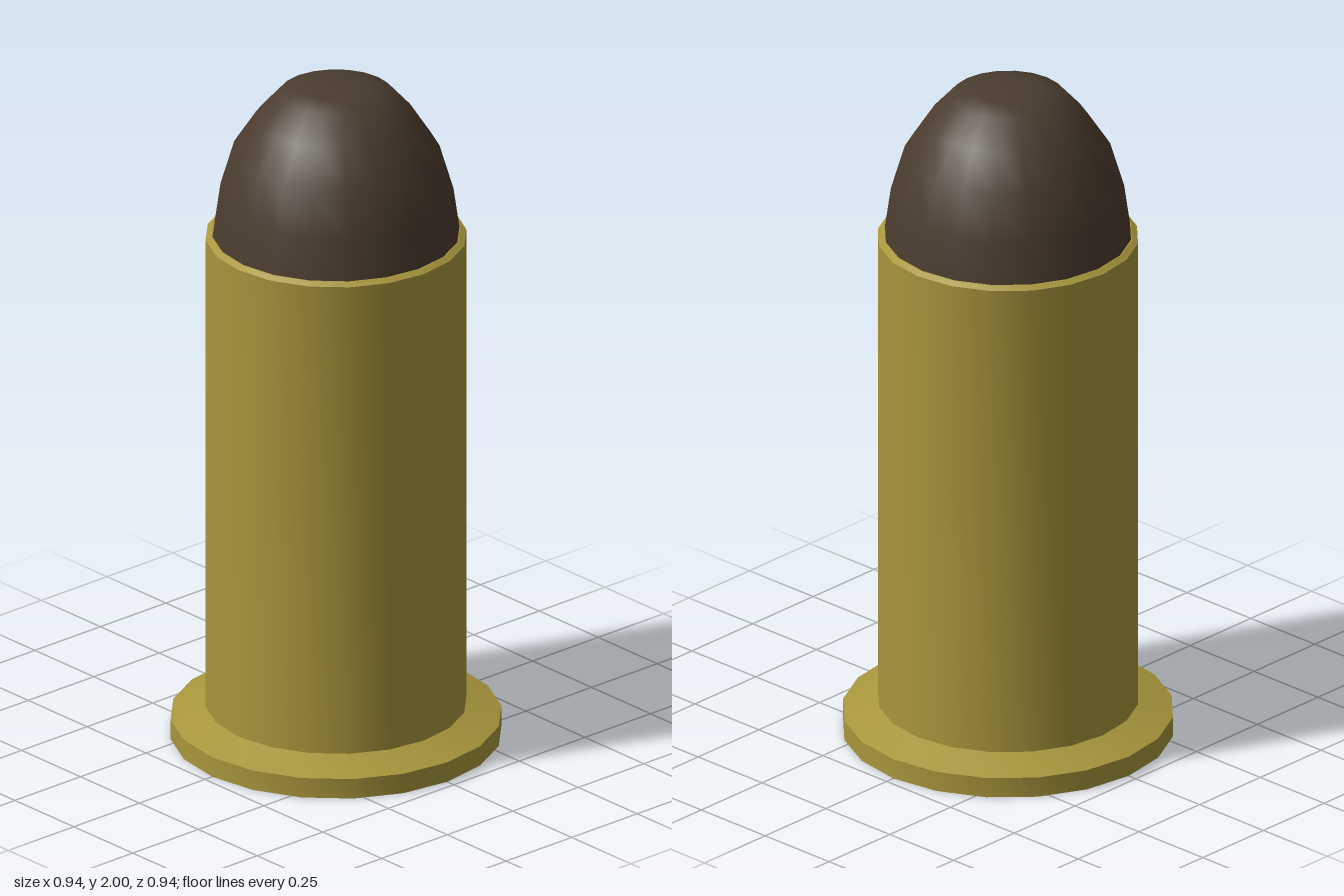
import * as THREE from 'three';
import { toCreasedNormals } from 'three/addons/utils/BufferGeometryUtils.js';

const SIDES = 20;

// Turned part from a [radius, height] profile, listed from bottom to top
function turned(name, profile, color, creaseDegrees) {
  const points = profile.map(([r, y]) => new THREE.Vector2(r, y));
  const geometry = toCreasedNormals(
    new THREE.LatheGeometry(points, SIDES),
    THREE.MathUtils.degToRad(creaseDegrees)
  );
  const mesh = new THREE.Mesh(geometry, new THREE.MeshStandardMaterial({ color }));
  mesh.name = name;
  return mesh;
}

export function createModel() {
  const group = new THREE.Group();
  group.name = 'cartridge';

  // Brass case: flat base, rim with sloped shoulder, straight wall, chamfered mouth
  group.add(turned('case', [
    [0, 0], [0.472, 0], [0.472, 0.06], [0.372, 0.095],
    [0.372, 1.54], [0.355, 1.55], [0.345, 1.55],
  ], 0xa8963c, 25));

  // Rounded bullet with a small flat nose, seated in the mouth
  group.add(turned('bullet', [
    [0.352, 1.55], [0.335, 1.67], [0.295, 1.805], [0.23, 1.905],
    [0.16, 1.983], [0.1, 2], [0, 2],
  ], 0x4a3c2e, 45));

  return group;
}
